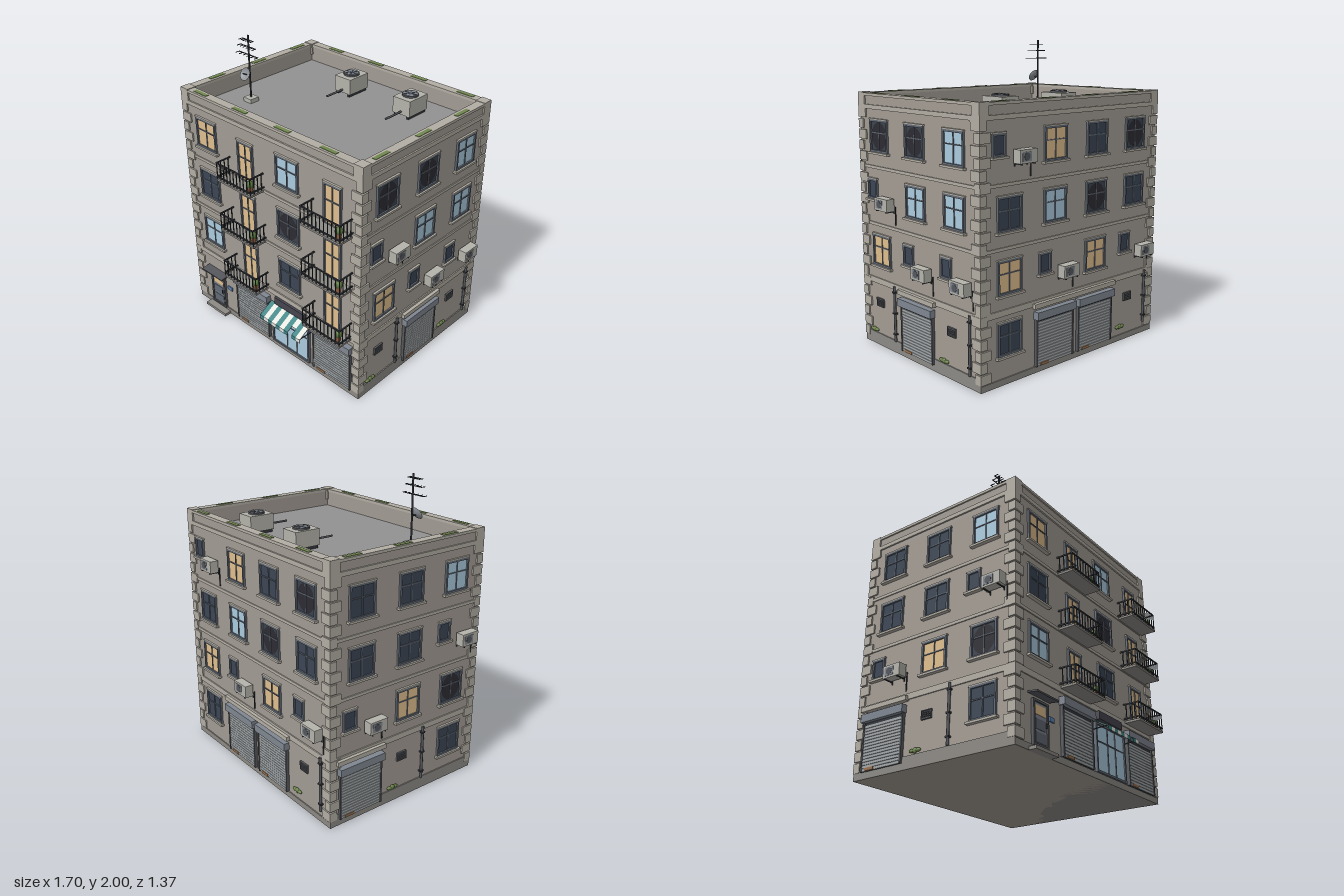
import * as THREE from 'three';

const mat = (color, opts = {}) => new THREE.MeshStandardMaterial({ color, ...opts });
const M = {
  wall: mat(0xa39c94), trim: mat(0xb3aea4), plinth: mat(0x8d8a85), deck: mat(0x929292),
  frame: mat(0x626a75), dark: mat(0x33363c), metal: mat(0x55575c), shutter: mat(0xa2a7a9),
  unit: mat(0xb5b4ac), grille: mat(0x808791), moss: mat(0x71884f), leaf: mat(0x55703a),
  pot: mat(0x9a6244), rust: mat(0x98704f), teal: mat(0x3f8586), white: mat(0xe6e6e0),
  sign: mat(0x47454f), plate: mat(0x5d83b5), dish: mat(0x8f9499, { side: THREE.DoubleSide }),
  L: mat(0xabcbdf), Y: mat(0xdfbe8d), D: mat(0x3b4654), K: mat(0x3c424d), hole: mat(0x2c2c33),
};

function add(parent, name, geo, m, x, y, z) {
  const mesh = new THREE.Mesh(geo, m);
  mesh.name = name;
  mesh.position.set(x, y, z);
  parent.add(mesh);
  return mesh;
}
const box = (p, name, m, w, h, d, x, y, z) => add(p, name, new THREE.BoxGeometry(w, h, d), m, x, y, z);
const rod = (p, name, m, r, h, x, y, z, n = 8) => add(p, name, new THREE.CylinderGeometry(r, r, h, n), m, x, y, z);
function group(parent, name, x = 0, y = 0, z = 0) {
  const g = new THREE.Group();
  g.name = name;
  g.position.set(x, y, z);
  parent.add(g);
  return g;
}

// Rectangular border standing on the wall plane
function border(p, name, m, w, h, t, d) {
  for (const s of [-1, 1]) {
    box(p, name, m, t, h, d, s * (w - t) / 2, 0, d / 2);
    box(p, name, m, w - 2 * t, t, d, 0, s * (h - t) / 2, d / 2);
  }
}

// Glazed opening with border, glazing bars and sill
function glazing(f, name, u, y, w, h, kind, sill = true) {
  const g = group(f, name, u, y, 0);
  box(g, 'pane', M[kind], w - 0.02, h - 0.02, 0.008, 0, 0, 0);
  border(g, 'frame', M.frame, w, h, 0.013, 0.014);
  if (w > 0.12) {
    box(g, 'mullion', M.frame, 0.007, h - 0.02, 0.009, 0, 0, 0.0045);
    box(g, 'transom', M.frame, w - 0.02, 0.007, 0.009, 0, h * 0.1, 0.0045);
  }
  if (kind === 'K') {
    const hole = add(g, 'darkInterior', new THREE.CircleGeometry(0.5, 24), M.hole, 0, 0, 0.0055);
    hole.scale.set(w - 0.03, h - 0.03, 1);
  }
  if (sill) {
    box(g, 'sill', M.trim, w + 0.026, 0.014, 0.026, 0, -h / 2 - 0.007, 0.013);
    box(g, 'lintel', M.trim, w + 0.01, 0.008, 0.014, 0, h / 2 + 0.004, 0.007);
  }
}

// Boxed cooling unit on brackets with a drain pipe
function wallUnit(f, u, y) {
  const g = group(f, 'wallUnit', u, y, 0);
  box(g, 'casing', M.unit, 0.135, 0.08, 0.058, 0, 0, 0.041);
  box(g, 'grille', M.grille, 0.07, 0.055, 0.003, -0.016, 0, 0.071);
  const fan = rod(g, 'fan', M.metal, 0.023, 0.004, -0.016, 0, 0.072, 16);
  fan.rotation.x = Math.PI / 2;
  for (const s of [-1, 1]) {
    box(g, 'bracket', M.dark, 0.006, 0.006, 0.07, s * 0.05, -0.045, 0.035);
    box(g, 'bracket', M.dark, 0.006, 0.03, 0.006, s * 0.05, -0.045, 0.003);
  }
  rod(g, 'drainPipe', M.dark, 0.004, 0.12, 0.074, -0.07, 0.008);
}

function balcony(f, u, y) {
  glazing(f, 'balconyDoor', u, y + 0.14, 0.14, 0.28, 'Y', false);
  box(f, 'doorLintel', M.trim, 0.15, 0.01, 0.014, u, y + 0.284, 0.007);
  const g = group(f, 'balcony', u, y, 0);
  box(g, 'slab', M.plinth, 0.318, 0.014, 0.115, 0, 0.004, 0.0575);
  for (const h of [0.028, 0.125]) {
    box(g, 'rail', M.dark, 0.318, 0.008, 0.008, 0, h, 0.111);
    for (const s of [-1, 1]) box(g, 'rail', M.dark, 0.008, 0.008, 0.115, s * 0.155, h, 0.0575);
  }
  for (let i = 0; i <= 10; i++) box(g, 'baluster', M.dark, 0.005, 0.12, 0.005, -0.155 + i * 0.031, 0.067, 0.111);
  for (const s of [-1, 1])
    for (let i = 0; i < 3; i++) box(g, 'baluster', M.dark, 0.005, 0.12, 0.005, s * 0.155, 0.067, 0.02 + i * 0.03);
  add(g, 'pot', new THREE.CylinderGeometry(0.02, 0.014, 0.036, 10), M.pot, 0.115, 0.029, 0.075);
  add(g, 'plant', new THREE.IcosahedronGeometry(0.025, 1), M.leaf, 0.115, 0.06, 0.075);
}

function shutter(f, u, front) {
  const g = group(f, 'rollerShutter', u, 0, 0);
  box(g, 'darkGap', M.dark, 0.32, 0.305, 0.006, 0, 0.195, 0.01);
  for (let i = 0; i < 15; i++) box(g, 'slat', M.shutter, 0.304, 0.0165, 0.012, 0, 0.052 + i * 0.019, 0.012);
  for (const s of [-1, 1]) box(g, 'guide', M.metal, 0.012, 0.305, 0.022, s * 0.157, 0.195, 0.011);
  box(g, 'housing', M.grille, 0.34, 0.05, 0.04, 0, 0.37, 0.02);
  if (!front) box(g, 'lintel', M.trim, 0.37, 0.03, 0.03, 0, 0.432, 0.015);
  box(g, 'rustPatch', M.rust, 0.07, 0.018, 0.004, -0.09, 0.053, 0.02);
}

// Blank bay: vent, tuft of weeds and downpipe
function blankBay(f, u) {
  const v = group(f, 'vent', u - 0.037, 0.3, 0);
  border(v, 'ventFrame', M.metal, 0.076, 0.056, 0.006, 0.012);
  for (let i = 0; i < 4; i++) box(v, 'ventSlat', M.metal, 0.07, 0.007, 0.008, 0, -0.018 + i * 0.012, 0.004);
  for (let i = -1; i <= 1; i++) {
    const tuft = add(f, 'weeds', new THREE.IcosahedronGeometry(0.02, 1), M.moss, u - 0.11 + i * 0.024, 0.1, 0.008);
    tuft.scale.set(1, 0.9 - 0.3 * Math.abs(i), 0.5);
  }
  rod(f, 'downpipe', M.metal, 0.009, 0.37, u + 0.135, 0.265, 0.012);
  for (const y of [0.13, 0.27, 0.41]) box(f, 'pipeClip', M.dark, 0.026, 0.01, 0.022, u + 0.135, y, 0.011);
}

function entrance(f, u) {
  const g = group(f, 'entrance', u, 0, 0);
  box(g, 'doorLeaf', M.grille, 0.12, 0.25, 0.01, 0, 0.17, 0.005);
  const s = group(g, 'doorSurround', 0, 0.17, 0);
  border(s, 'doorFrame', M.metal, 0.145, 0.265, 0.014, 0.018);
  box(g, 'doorGlass', M.Y, 0.095, 0.055, 0.004, 0, 0.245, 0.011);
  for (const y of [0.09, 0.165]) box(g, 'doorPanel', M.frame, 0.095, 0.06, 0.004, 0, y, 0.011);
  rod(g, 'handle', M.dark, 0.004, 0.03, 0.045, 0.17, 0.02);
  const c = box(g, 'canopy', M.metal, 0.21, 0.01, 0.066, 0, 0.326, 0.033);
  c.rotation.x = 0.12;
  box(g, 'step', M.plinth, 0.21, 0.02, 0.056, 0, 0.01, 0.028);
  box(g, 'wallPlate', M.plate, 0.048, 0.028, 0.008, 0.118, 0.23, 0.004);
}

function shop(f, u) {
  const g = group(f, 'shopFront', u, 0, 0);
  box(g, 'shopGlass', M.L, 0.335, 0.3, 0.012, 0, 0.195, 0.006);
  const b = group(g, 'shopSurround', 0, 0.195, 0);
  border(b, 'shopFrame', M.frame, 0.345, 0.31, 0.014, 0.02);
  for (const x of [-0.035, 0.055]) box(g, 'shopBar', M.frame, 0.007, 0.29, 0.016, x, 0.195, 0.008);
  box(g, 'shopTransom', M.frame, 0.33, 0.007, 0.016, 0, 0.235, 0.008);
  box(g, 'signBoard', M.sign, 0.27, 0.052, 0.025, 0, 0.402, 0.0125);
  // Striped awning, one strip torn short
  const a = group(g, 'awning', 0, 0.365, 0.005);
  for (let i = 0; i < 10; i++) {
    const m = i % 2 ? M.white : M.teal, x = (i - 4.5) * 0.037, len = i === 7 ? 0.075 : 0.122;
    const strip = group(a, 'strip', x, 0, 0);
    strip.rotation.x = 0.52;
    box(strip, 'cloth', m, 0.037, 0.004, len, 0, 0, len / 2);
    if (i !== 7) box(a, 'valance', m, 0.037, 0.028, 0.003, x, -0.073, 0.106);
  }
  for (const s of [-1, 1]) {
    const arm = box(a, 'awningArm', M.dark, 0.005, 0.005, 0.11, s * 0.18, -0.062, 0.052);
    arm.rotation.x = -0.05;
  }
}

// Codes: Y L D K window tints, B balcony, S small window with unit, R shutter, V blank bay, E entrance, W shop
function facade(root, name, rot, x, z, cols, rows) {
  const f = group(root, name, x, 0, z);
  f.rotation.y = rot;
  rows.forEach((row, r) => [...row].forEach((code, c) => {
    const u = cols[c], y = 1.404 - r * 0.373;
    if (code === 'B') balcony(f, u, y - 0.206);
    else if (code === 'S') {
      glazing(f, 'smallWindow', u - 0.083, y + 0.026, 0.1, 0.13, 'D');
      wallUnit(f, u + 0.09, y - 0.046);
    } else if (code === 'R') shutter(f, u, rot === 0);
    else if (code === 'V') blankBay(f, u);
    else if (code === 'E') entrance(f, u);
    else if (code === 'W') shop(f, u);
    else glazing(f, 'window', u, y, 0.19, 0.205, code);
  }));
}

function roofUnit(root, x) {
  const g = group(root, 'roofUnit', x, 1.55, -0.338);
  for (const s of [-1, 1]) box(g, 'foot', M.dark, 0.015, 0.02, 0.17, s * 0.05, 0.01, 0);
  box(g, 'casing', M.unit, 0.135, 0.105, 0.177, 0, 0.0725, 0);
  rod(g, 'fanRing', M.metal, 0.053, 0.012, 0, 0.13, 0, 20);
  rod(g, 'fan', M.grille, 0.045, 0.004, 0, 0.136, 0, 20);
  for (let i = 0; i < 3; i++) box(g, 'fanBlade', M.metal, 0.086, 0.003, 0.008, 0, 0.1385, 0).rotation.y = i * Math.PI / 3;
  rod(g, 'pipe', M.metal, 0.007, 0.15, 0, 0.04, 0.163).rotation.x = Math.PI / 2;
}

export function createModel() {
  const root = new THREE.Group();
  root.name = 'apartmentBlock';
  const cz = -0.025, W = 1.55, D = 1.18, hx = W / 2, hz = D / 2;

  // Walls, roof deck and bands
  box(root, 'walls', M.wall, W, 1.545, D, 0, 0.7725, cz);
  box(root, 'roofDeck', M.deck, W - 0.1, 0.006, D - 0.1, 0, 1.547, cz);
  box(root, 'plinth', M.plinth, W + 0.014, 0.04, D + 0.014, 0, 0.02, cz);
  for (const s of [-1, 1]) box(root, 'sidePlinth', M.plinth, 0.007, 0.04, D + 0.014, s * (hx + 0.0035), 0.06, cz);
  for (const [y, h, o] of [[0.445, 0.038, 0.016], [0.827, 0.02, 0.014], [1.2, 0.02, 0.014], [1.585, 0.028, 0.02]])
    for (const s of [-1, 1]) {
      box(root, 'band', M.trim, W + o, h, 0.03, 0, y, cz + s * (hz + o / 2 - 0.015));
      box(root, 'band', M.trim, 0.03, h, D + o, s * (hx + o / 2 - 0.015), y, cz);
    }

  // Parapet with coping, moss and corner caps
  for (const s of [-1, 1]) {
    box(root, 'parapet', M.wall, W, 0.11, 0.045, 0, 1.598, cz + s * (hz - 0.0225));
    box(root, 'parapet', M.wall, 0.045, 0.11, D, s * (hx - 0.0225), 1.598, cz);
    box(root, 'coping', M.trim, W + 0.018, 0.018, 0.06, 0, 1.662, cz + s * (hz - 0.021));
    box(root, 'coping', M.trim, 0.06, 0.018, D + 0.018, s * (hx - 0.021), 1.662, cz);
    for (let i = 0; i < 4; i++)
      box(root, 'moss', M.moss, 0.122, 0.006, 0.027, -0.56 + s * -0.05 + i * 0.373, 1.671, cz + s * (hz - 0.018));
    for (let i = 0; i < 3; i++)
      box(root, 'moss', M.moss, 0.027, 0.006, 0.122, s * (hx - 0.018), 1.671, -0.4 + s * 0.05 + i * 0.373);
    for (const t of [-1, 1]) {
      box(root, 'cornerCap', M.trim, 0.07, 0.08, 0.07, s * (hx - 0.025), 1.635, cz + t * (hz - 0.025));
      // Quoins alternate long and short
      for (let i = 0; i < 22; i++) {
        const a = i % 2 ? 0.05 : 0.08, b = i % 2 ? 0.08 : 0.05;
        box(root, 'quoin', M.trim, a, 0.06, b, s * (hx + 0.01 - a / 2), 0.075 + i * 0.07, cz + t * (hz + 0.01 - b / 2));
      }
    }
  }

  // Four facades
  const wide = [-0.557, -0.185, 0.185, 0.557];
  facade(root, 'frontFacade', 0, 0, cz + hz, wide, ['YBLB', 'DBKB', 'LBDB', 'ERWR']);
  facade(root, 'backFacade', Math.PI, 0, cz - hz, wide, ['SYDK', 'DLKD', 'YSYS', 'DRRV']);
  facade(root, 'leftFacade', Math.PI / 2, hx, 0, [-0.353, 0.02, 0.393], ['KKL', 'SLL', 'YSS', 'VRV']);
  facade(root, 'rightFacade', -Math.PI / 2, -hx, 0, [-0.393, -0.02, 0.353], ['DDL', 'DDS', 'SYK', 'RVD']);

  // Roof equipment
  roofUnit(root, -0.127);
  roofUnit(root, 0.372);
  const an = group(root, 'antenna', -0.5, 0, 0.228);
  box(an, 'antennaBase', M.unit, 0.07, 0.03, 0.07, 0, 1.563, 0);
  rod(an, 'mast', M.dark, 0.006, 0.45, 0, 1.775, 0);
  [[1.97, 0.1], [1.925, 0.14], [1.872, 0.176]].forEach(([y, w]) => {
    box(an, 'crossBar', M.dark, w, 0.005, 0.005, 0, y, 0.004);
    for (let i = 0; i < 6; i++) box(an, 'tine', M.dark, 0.004, 0.004, 0.034, (i / 5 - 0.5) * w, y, 0.017);
  });
  const bowl = [[0, 0], [0.02, 0.003], [0.034, 0.009], [0.043, 0.016]].map(p => new THREE.Vector2(...p));
  const d = group(an, 'dish', 0, 1.742, 0.028);
  d.rotation.x = Math.PI / 2 - 0.5;
  add(d, 'bowl', new THREE.LatheGeometry(bowl, 20), M.dish, 0, 0, 0);
  rod(d, 'feed', M.dark, 0.003, 0.035, 0, 0.017, 0);
  box(an, 'dishArm', M.dark, 0.008, 0.008, 0.03, 0, 1.74, 0.014);
  return root;
}
